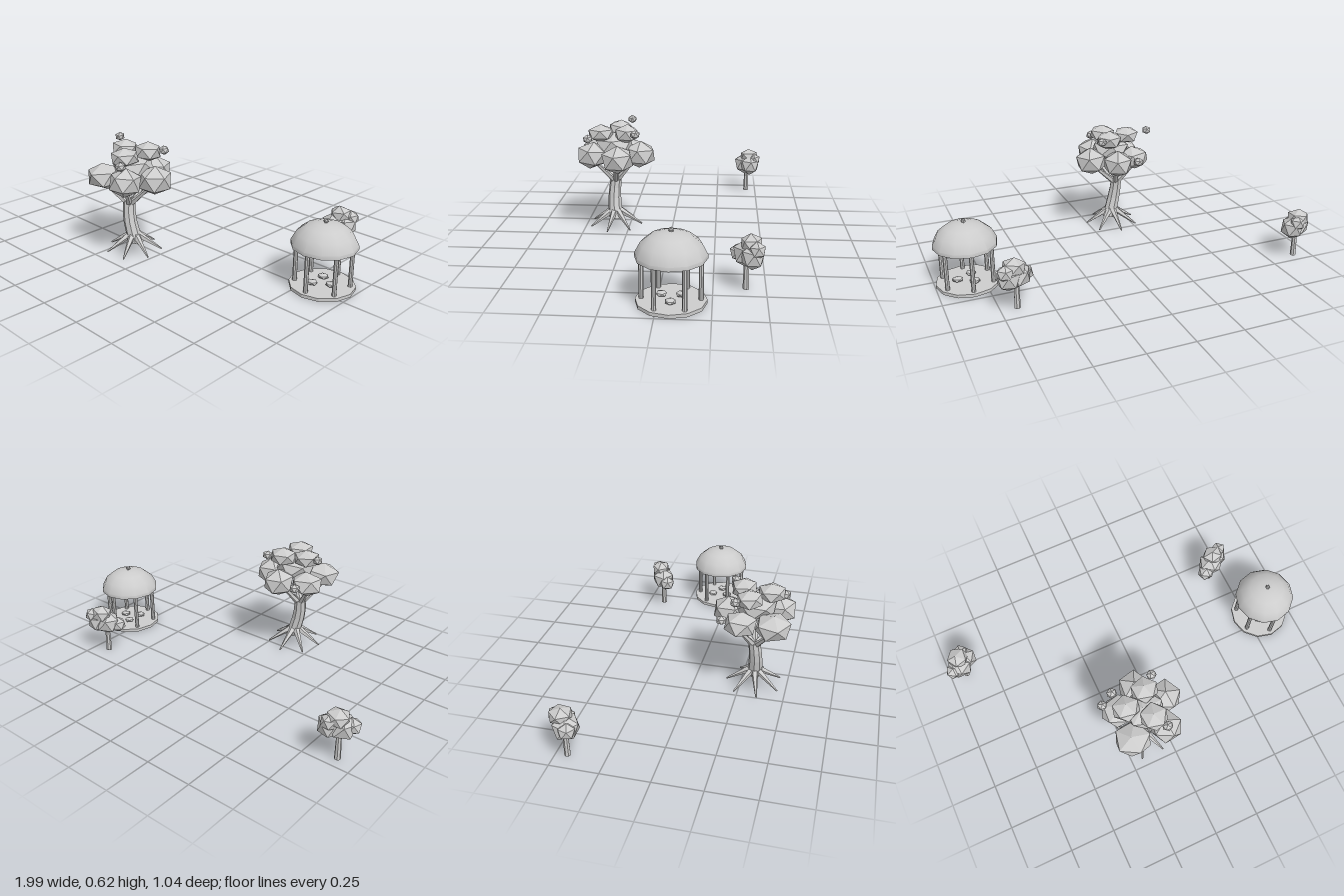
import * as THREE from 'three';
import { toCreasedNormals } from 'three/addons/utils/BufferGeometryUtils.js';

const stone = new THREE.MeshStandardMaterial({ color: 0xcccccc });
stone.name = 'pale grey';

function add(parent, name, geometry, x = 0, y = 0, z = 0) {
  const mesh = new THREE.Mesh(geometry, stone);
  mesh.name = name;
  mesh.position.set(x, y, z);
  parent.add(mesh);
  return mesh;
}

function facet(geometry) {
  const flat = geometry.index ? geometry.toNonIndexed() : geometry;
  flat.computeVertexNormals();
  return flat;
}

// Squashed, turned icosahedron used for foliage and pebbles
function blob(parent, name, [x, y, z, rx, ry, rz], turn) {
  const g = new THREE.IcosahedronGeometry(1, 0);
  g.rotateZ(0.55 + Math.sin(turn * 3) * 0.15);
  g.rotateY(turn);
  g.scale(rx, ry, rz);
  return add(parent, name, facet(g), x, y, z);
}

// Straight tapered limb from a to b
function limb(parent, name, a, b, ra, rb, sides = 5) {
  const from = new THREE.Vector3(...a), to = new THREE.Vector3(...b);
  const dir = to.clone().sub(from);
  const g = facet(new THREE.CylinderGeometry(rb, ra, dir.length(), sides));
  const mid = from.add(to).multiplyScalar(0.5);
  const mesh = add(parent, name, g, mid.x, mid.y, mid.z);
  mesh.quaternion.setFromUnitVectors(new THREE.Vector3(0, 1, 0), dir.normalize());
}

function pavilion() {
  const group = new THREE.Group();
  group.name = 'pavilion';
  group.position.set(0.832, 0, -0.064);

  add(group, 'floor', facet(new THREE.CylinderGeometry(0.165, 0.165, 0.017, 12)), 0, 0.0085, 0);
  for (let i = 0; i < 6; i++) {
    const a = i * Math.PI / 3;
    const column = new THREE.CylinderGeometry(0.0115, 0.0115, 0.205, 8);
    add(group, 'column', facet(column), 0.136 * Math.sin(a), 0.1195, 0.136 * Math.cos(a));
  }
  // Hollow roof: inside from the crown down, then outside back up
  const profile = [[0, 0.322], [0.08, 0.308], [0.115, 0.278], [0.132, 0.237], [0.132, 0.218],
    [0.165, 0.218], [0.165, 0.237], [0.139, 0.287], [0.095, 0.323], [0.048, 0.338], [0, 0.343]];
  const dome = new THREE.LatheGeometry(profile.map(p => new THREE.Vector2(...p)), 12);
  add(group, 'domedRoof', toCreasedNormals(dome, 0.62));
  add(group, 'finial', facet(new THREE.IcosahedronGeometry(0.013, 0)), 0, 0.349, 0);

  for (let i = 0; i < 3; i++) {
    const a = i * Math.PI * 2 / 3;
    blob(group, 'floorStone', [0.053 * Math.cos(a), 0.029, 0.053 * Math.sin(a), 0.03, 0.013, 0.028], a);
  }
  return group;
}

function bigTree() {
  const group = new THREE.Group();
  group.name = 'bigTree';

  // Leaning trunk, bent ring by ring
  const trunk = new THREE.CylinderGeometry(0.032, 0.041, 0.225, 8, 4);
  const p = trunk.attributes.position;
  for (let i = 0; i < p.count; i++) {
    const t = p.getY(i) / 0.225 + 0.5;
    p.setX(i, p.getX(i) - 0.115 - 0.045 * Math.sin(t * Math.PI / 2));
    p.setZ(i, p.getZ(i) + 0.322 + 0.01 * Math.sin(t * 3));
  }
  add(group, 'trunk', facet(trunk), 0, 0.1775, 0);

  const roots = 7;
  for (let i = 0; i < roots; i++) {
    const a = i * Math.PI * 2 / roots + 0.2;
    const at = (r, y) => [-0.13 + r * Math.cos(a), y, 0.325 + r * Math.sin(a)];
    limb(group, 'root', at(0.02, 0.105), at(0.15, 0.022), 0.02, 0.004);
  }

  const tips = [[-0.25, 0.4, 0.42], [-0.06, 0.41, 0.43], [0, 0.41, 0.3], [-0.11, 0.41, 0.21],
    [-0.25, 0.4, 0.26]];
  tips.forEach(t => limb(group, 'branch', [-0.158, 0.265, 0.325], t, 0.018, 0.009));

  const foliage = [
    // lower ring
    [-0.23, 0.435, 0.425, 0.105, 0.07, 0.1], [-0.05, 0.445, 0.44, 0.09, 0.077, 0.09],
    [0.01, 0.437, 0.29, 0.095, 0.08, 0.095], [-0.11, 0.44, 0.18, 0.088, 0.078, 0.095],
    [-0.24, 0.435, 0.26, 0.095, 0.068, 0.09],
    // middle and top
    [-0.12, 0.49, 0.32, 0.115, 0.07, 0.115],
    [-0.085, 0.562, 0.25, 0.078, 0.054, 0.072], [-0.1, 0.56, 0.395, 0.078, 0.05, 0.078],
    [-0.21, 0.565, 0.3, 0.078, 0.05, 0.072],
    // loose tufts
    [-0.315, 0.597, 0.245, 0.027, 0.024, 0.027], [-0.055, 0.535, 0.462, 0.03, 0.026, 0.028],
    [-0.23, 0.44, 0.16, 0.03, 0.026, 0.03], [-0.02, 0.572, 0.195, 0.028, 0.025, 0.028],
  ];
  foliage.forEach((f, i) => blob(group, 'foliage', f, i * 1.3 + 0.4));
  return group;
}

function smallTree(name, trunkX, trunkZ, foliage) {
  const group = new THREE.Group();
  group.name = name;
  limb(group, 'trunk', [trunkX, 0, trunkZ], [trunkX, 0.17, trunkZ], 0.016, 0.012, 7);
  foliage.forEach((f, i) => blob(group, 'foliage', f, i * 1.7 + 0.3));
  return group;
}

export function createModel() {
  const model = new THREE.Group();
  model.name = 'parkScene';
  model.add(pavilion(), bigTree());
  model.add(smallTree('rightSmallTree', -0.908, -0.44, [
    [-0.915, 0.178, -0.43, 0.074, 0.068, 0.072], [-0.868, 0.18, -0.46, 0.062, 0.066, 0.064],
    [-0.905, 0.232, -0.455, 0.062, 0.047, 0.062], [-0.955, 0.185, -0.41, 0.048, 0.042, 0.046],
    [-0.88, 0.215, -0.485, 0.045, 0.042, 0.045],
  ]));
  model.add(smallTree('leftSmallTree', 0.665, -0.405, [
    [0.66, 0.178, -0.405, 0.074, 0.068, 0.07], [0.708, 0.18, -0.43, 0.064, 0.066, 0.06],
    [0.68, 0.232, -0.425, 0.064, 0.05, 0.056], [0.615, 0.165, -0.37, 0.05, 0.044, 0.048],
    [0.728, 0.22, -0.45, 0.045, 0.042, 0.042],
  ]));
  return model;
}
